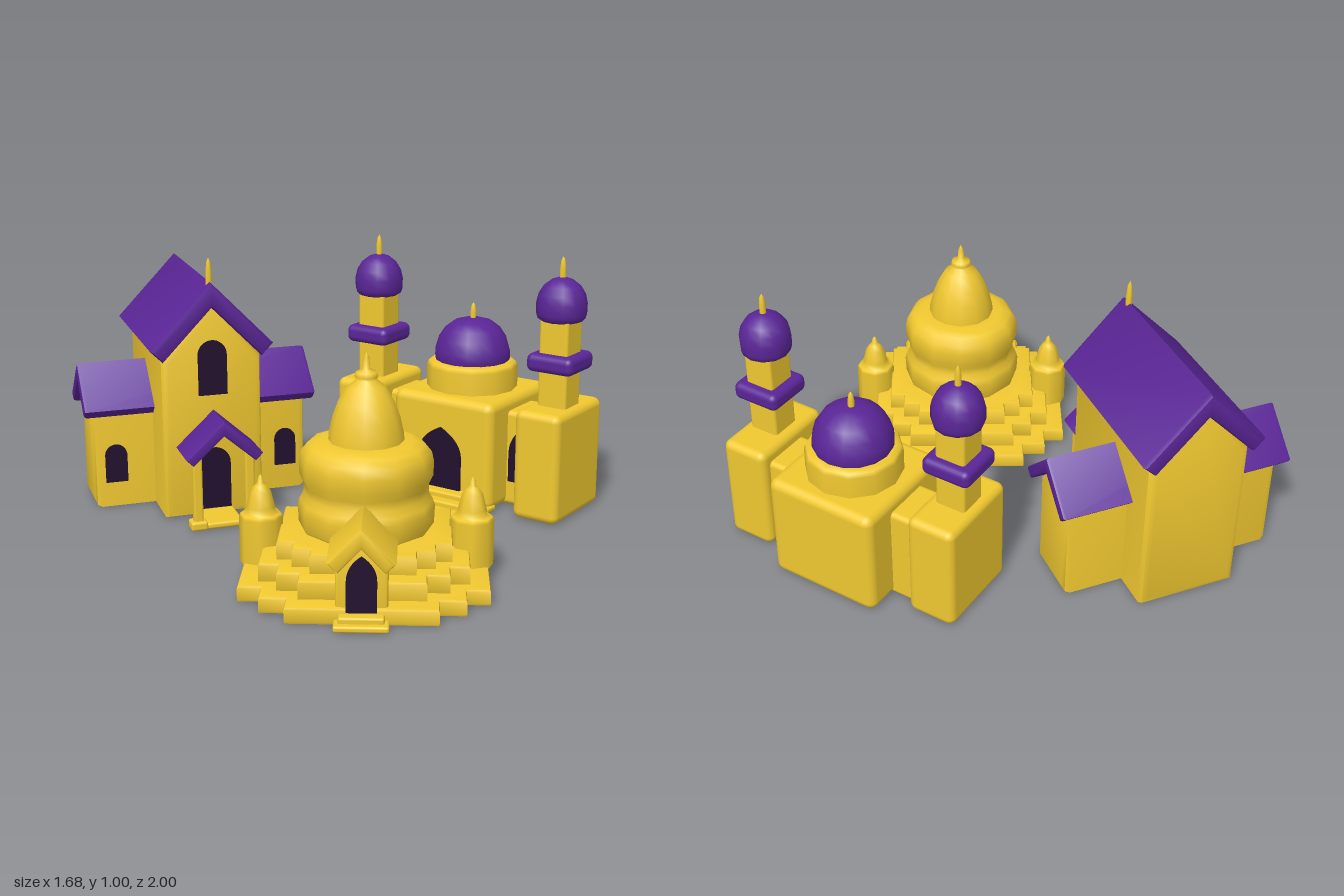
import * as THREE from 'three';
import { toCreasedNormals } from 'three/addons/utils/BufferGeometryUtils.js';
import { RoundedBoxGeometry } from 'three/addons/geometries/RoundedBoxGeometry.js';

const mat = (color) => new THREE.MeshStandardMaterial({ color });
const yellow = mat(0xf0c830), purple = mat(0x5a2596), dark = mat(0x22102e);

function add(parent, name, geometry, material, x = 0, y = 0, z = 0) {
  const mesh = new THREE.Mesh(geometry, material);
  mesh.name = name;
  mesh.position.set(x, y, z);
  parent.add(mesh);
  return mesh;
}

// Rounded box given by its ranges along x, y and z
function block(parent, name, [x0, x1], [y0, y1], [z0, z1], r = 0.02, material = yellow) {
  const g = new RoundedBoxGeometry(x1 - x0, y1 - y0, z1 - z0, 3, r);
  return add(parent, name, g, material, (x0 + x1) / 2, (y0 + y1) / 2, (z0 + z1) / 2);
}

// Bevelled extrusion of an outline that keeps its outer size, from z0 to z1
function slab(shape, z0, z1, bevel) {
  const g = new THREE.ExtrudeGeometry(shape, {
    depth: z1 - z0 - 2 * bevel, bevelEnabled: true, bevelThickness: bevel,
    bevelSize: bevel, bevelOffset: -bevel, bevelSegments: 2, curveSegments: 8,
  });
  g.translate(0, 0, z0 + bevel);
  return toCreasedNormals(g, 0.7);
}

const outline = (pts) => new THREE.Shape(pts.map(([x, y]) => new THREE.Vector2(x, y)));

// House body with a pointed gable
const gableBody = (w, eave, peak, z0, z1, bevel) =>
  slab(outline([[-w, 0], [w, 0], [w, eave], [0, peak], [-w, eave]]), z0, z1, bevel);

// Thick chevron roof
const roof = (w, eave, peak, t, z0, z1, bevel = 0.015) => slab(outline([
  [0, peak], [-w, eave], [-w + t * 0.7, eave - t * 0.7], [0, peak - t * 1.45],
  [w - t * 0.7, eave - t * 0.7], [w, eave]]), z0, z1, bevel);

// Dark opening with a round or pointed top, facing +z
function arch(parent, name, w, h, pointed, x, y, z) {
  const s = new THREE.Shape();
  const spring = pointed ? h * 0.55 : h - w / 2;
  s.moveTo(-w / 2, 0);
  s.lineTo(w / 2, 0);
  s.lineTo(w / 2, spring);
  if (pointed) {
    s.quadraticCurveTo(w / 2, h * 0.82, 0, h);
    s.quadraticCurveTo(-w / 2, h * 0.82, -w / 2, spring);
  } else s.absarc(0, spring, w / 2, 0, Math.PI, false);
  const g = new THREE.ExtrudeGeometry(s, { depth: 0.02, bevelEnabled: false, curveSegments: 8 });
  return add(parent, name, g, dark, x, y, z - 0.01);
}

const lathe = (pts, sides) =>
  new THREE.LatheGeometry(pts.map(([r, y]) => new THREE.Vector2(r, y)), sides);

const finial = (parent, x, y, z, h) =>
  add(parent, 'finial', lathe([[0.012, 0], [0.012, h * 0.5], [0.008, h * 0.85], [0, h]], 8), yellow, x, y, z);

function createChurch() {
  const g = new THREE.Group();
  g.name = 'church';
  add(g, 'nave', gableBody(0.19, 0.62, 0.83, -0.31, 0.31, 0.025), yellow);
  add(g, 'naveRoof', roof(0.235, 0.665, 0.91, 0.065, -0.34, 0.34, 0.018), purple);
  finial(g, 0, 0.88, 0.29, 0.12);
  arch(g, 'gableWindow', 0.11, 0.21, false, 0, 0.48, 0.31);

  // Side wings share one body and one roof running crosswise
  const wings = new THREE.Group();
  wings.name = 'wings';
  wings.rotation.y = Math.PI / 2;
  wings.position.z = -0.03;
  g.add(wings);
  add(wings, 'wingWalls', gableBody(0.12, 0.38, 0.5, -0.425, 0.425, 0.025), yellow);
  add(wings, 'wingRoof', roof(0.163, 0.4, 0.555, 0.045, -0.46, 0.46, 0.012), purple);
  for (const s of [-1, 1]) arch(g, 'wingWindow', 0.085, 0.15, false, s * 0.34, 0.1, 0.09);

  // Porch
  add(g, 'porchRoof', roof(0.147, 0.285, 0.42, 0.04, 0.28, 0.487, 0.01), purple);
  arch(g, 'porchDoor', 0.12, 0.24, false, 0, 0.03, 0.31);
  block(g, 'porchStep', [-0.07, 0.07], [0, 0.025], [0.28, 0.47], 0.01);
  for (const s of [-1, 1]) {
    block(g, 'porchPost', [s * 0.1 - 0.018, s * 0.1 + 0.018], [0, 0.29], [0.425, 0.461], 0.008);
    block(g, 'porchPostBase', [s * 0.1 - 0.032, s * 0.1 + 0.032], [0, 0.035], [0.411, 0.475], 0.01);
  }
  return g;
}

// Square plan with two notches at each corner
function steppedPlan(k) {
  const corner = [[0.42, 0.25], [0.34, 0.25], [0.34, 0.34], [0.25, 0.34], [0.25, 0.42]];
  const pts = [];
  for (let q = 0; q < 4; q++) {
    const c = Math.round(Math.cos(q * Math.PI / 2)), s = Math.round(Math.sin(q * Math.PI / 2));
    for (const [x, y] of corner) pts.push([k * (x * c - y * s), k * (x * s + y * c)]);
  }
  return outline(pts);
}

function createStupa() {
  const g = new THREE.Group();
  g.name = 'stupa';
  [[1, 0, 0.06], [0.84, 0.05, 0.125], [0.7, 0.115, 0.19]].forEach(([k, y0, y1]) => {
    const tier = add(g, 'terrace', slab(steppedPlan(k), y0, y1, 0.01), yellow);
    tier.rotation.x = -Math.PI / 2;
  });
  add(g, 'bell', lathe([
    [0.215, 0.18], [0.232, 0.2], [0.235, 0.26], [0.228, 0.285], [0.214, 0.31], [0.214, 0.34],
    [0.228, 0.37], [0.23, 0.42], [0.222, 0.455], [0.2, 0.482], [0.165, 0.493], [0.125, 0.495]], 12), yellow);
  add(g, 'spire', lathe([
    [0.13, 0.485], [0.127, 0.52], [0.115, 0.575], [0.095, 0.63], [0.065, 0.68], [0.035, 0.705],
    [0.04, 0.715], [0.036, 0.73], [0.013, 0.742], [0.01, 0.78], [0, 0.8]], 12), yellow);

  // Small side shrines
  for (const s of [-1, 1]) add(g, 'sideShrine', lathe([
    [0.076, 0.05], [0.076, 0.215], [0.07, 0.226], [0.052, 0.228], [0.05, 0.25], [0.036, 0.305],
    [0.022, 0.325], [0.012, 0.335], [0.008, 0.355], [0, 0.365]], 8), yellow, s * 0.362);

  // Gatehouse
  add(g, 'gateWalls', gableBody(0.085, 0.2, 0.29, 0.18, 0.41, 0.012), yellow);
  add(g, 'gateRoof', roof(0.112, 0.215, 0.335, 0.05, 0.18, 0.435, 0.015), yellow);
  arch(g, 'gateDoor', 0.1, 0.19, true, 0, 0.045, 0.412);
  block(g, 'gateStepLow', [-0.09, 0.09], [0, 0.022], [0.38, 0.478], 0.008);
  block(g, 'gateStepHigh', [-0.075, 0.075], [0, 0.042], [0.38, 0.455], 0.008);
  return g;
}

function createMosque() {
  const g = new THREE.Group();
  g.name = 'mosque';
  block(g, 'hall', [-0.225, 0.225], [0, 0.43], [-0.23, 0.23], 0.035);
  add(g, 'drum', lathe([[0.18, 0.41], [0.18, 0.515], [0.172, 0.53], [0.15, 0.538], [0, 0.54]], 12), yellow);
  add(g, 'mainDome', lathe([
    [0.143, 0.53], [0.15, 0.55], [0.148, 0.58], [0.135, 0.625], [0.11, 0.663], [0.075, 0.69],
    [0.035, 0.702], [0, 0.705]], 16), purple);
  finial(g, 0, 0.69, 0, 0.075);
  arch(g, 'mainDoor', 0.19, 0.255, true, 0, 0.055, 0.23);
  for (let i = 0; i < 3; i++) {
    const w = 0.228 - i * 0.035;
    block(g, 'frontStep', [-w, w], [0, 0.022 * (i + 1)], [0.18, 0.37 - i * 0.042], 0.009);
  }

  for (const s of [-1, 1]) {
    // Link and tower base
    block(g, 'link', [s * 0.26 - 0.1, s * 0.26 + 0.1], [0, 0.38], [-0.1, 0.1], 0.02);
    arch(g, 'linkWindow', 0.07, 0.2, true, s * 0.272, 0.1, 0.1);
    block(g, 'towerBase', [s * 0.412 - 0.095, s * 0.412 + 0.095], [0, 0.43], [-0.14, 0.222], 0.03);
    // Minaret
    const m = new THREE.Group();
    m.name = 'minaret';
    m.position.set(s * 0.415, 0, 0.052);
    g.add(m);
    block(m, 'shaft', [-0.06, 0.06], [0.4, 0.79], [-0.06, 0.06], 0.012);
    block(m, 'balcony', [-0.097, 0.097], [0.565, 0.635], [-0.097, 0.097], 0.025, purple);
    add(m, 'cap', lathe([
      [0, 0.757], [0.075, 0.757], [0.089, 0.765], [0.095, 0.785], [0.096, 0.825], [0.088, 0.86],
      [0.07, 0.89], [0.042, 0.912], [0.015, 0.921], [0, 0.922]], 12), purple);
    finial(m, 0, 0.91, 0, 0.09);
  }
  return g;
}

export function createModel() {
  const model = new THREE.Group();
  model.name = 'sacredBuildings';
  const place = (building, x, z, turn) => {
    building.position.set(x, 0, z);
    building.rotation.y = turn;
    model.add(building);
  };
  place(createChurch(), -0.365, -0.61, -0.29);
  place(createStupa(), -0.34, 0.52, -0.66);
  place(createMosque(), 0.55, 0.005, -1.235);
  return model;
}
